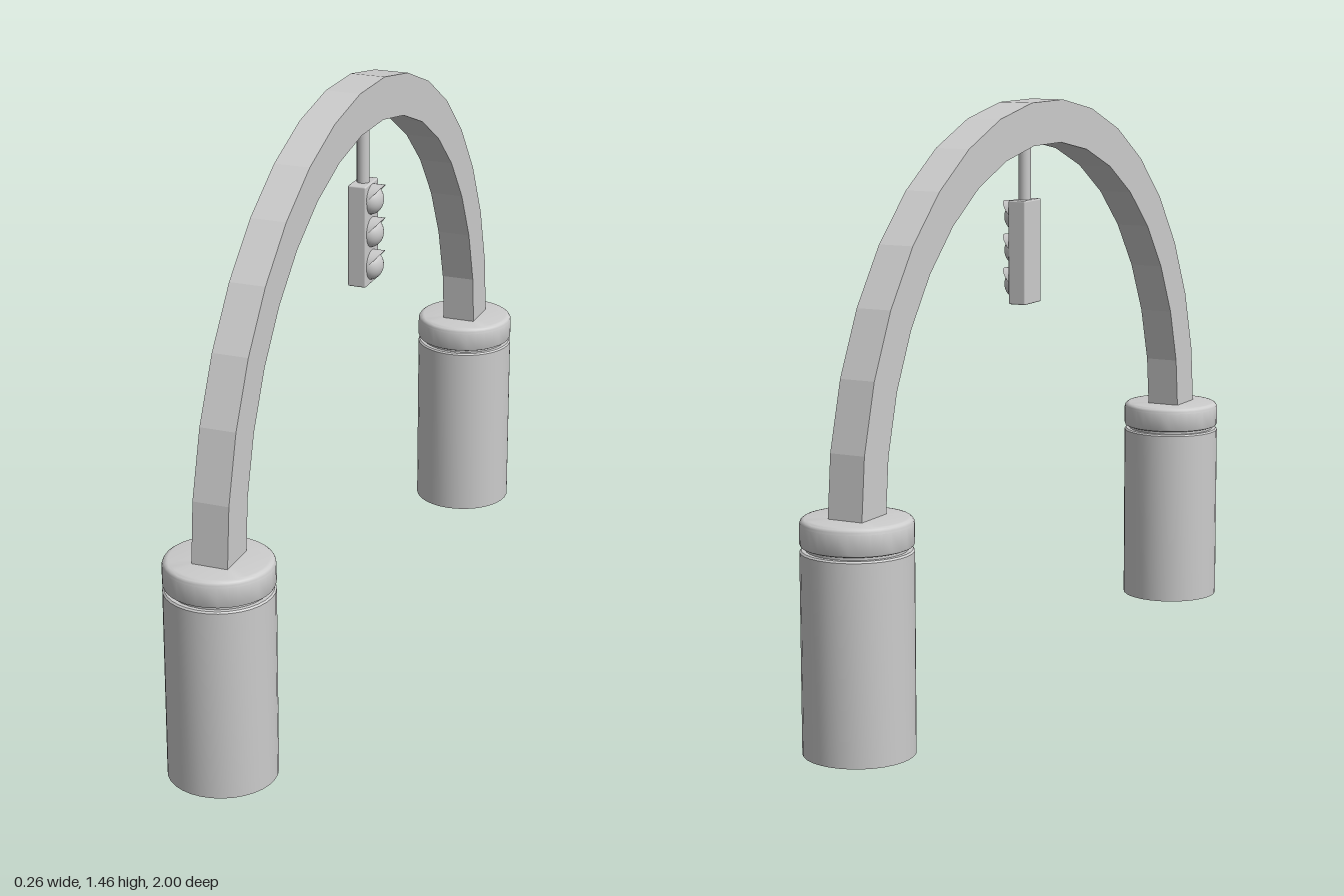
import * as THREE from 'three';
import { toCreasedNormals } from 'three/addons/utils/BufferGeometryUtils.js';
import { RoundedBoxGeometry } from 'three/addons/geometries/RoundedBoxGeometry.js';

const grey = new THREE.MeshStandardMaterial({ color: 0xcccccc });
const greyFlat = new THREE.MeshStandardMaterial({ color: 0xcccccc, flatShading: true });
const greyThin = new THREE.MeshStandardMaterial({ color: 0xcccccc, side: THREE.DoubleSide });

function add(parent, name, geometry, material, x = 0, y = 0, z = 0) {
  const mesh = new THREE.Mesh(geometry, material);
  mesh.name = name;
  mesh.position.set(x, y, z);
  parent.add(mesh);
  return mesh;
}

// Round post with a groove under a soft-edged cap
function pillarGeometry() {
  const r = 0.132;
  const points = [[0, 0], [r, 0], [r, 0.477], [r - 0.004, 0.481], [0.118, 0.481], [0.118, 0.489], [r - 0.006, 0.489], [r - 0.002, 0.491], [r, 0.496]];
  const fillet = 0.015;
  for (let i = 0; i <= 4; i++) {
    const a = (i / 4) * Math.PI / 2;
    points.push([r - fillet + fillet * Math.cos(a), 0.541 + fillet * Math.sin(a)]);
  }
  points.push([0, 0.556]);
  const lathe = new THREE.LatheGeometry(points.map(([x, y]) => new THREE.Vector2(x, y)), 32);
  return toCreasedNormals(lathe, 0.6);
}

// Faceted half ring with a rectangular section, spanning z
function archGeometry(outer, inner, width, segments) {
  const arc = (radius) => Array.from({ length: segments + 1 }, (_, i) => {
    const a = (i / segments) * Math.PI;
    return new THREE.Vector2(radius * Math.cos(a), radius * Math.sin(a));
  });
  const shape = new THREE.Shape([...arc(outer), ...arc(inner).reverse()]);
  const geometry = new THREE.ExtrudeGeometry(shape, { depth: width, bevelEnabled: false });
  return geometry.translate(0, 0, -width / 2).rotateY(Math.PI / 2);
}

// Half-round visor, longest at the top and tapering to nothing at the sides
function visorGeometry(radius, reach) {
  const geometry = new THREE.CylinderGeometry(radius, radius, 1, 20, 1, true, 0, Math.PI);
  const p = geometry.attributes.position;
  for (let i = 0; i < p.count; i++) {
    const up = Math.max(p.getX(i), 0);
    const out = p.getY(i) > 0 ? reach * up / radius : 0;
    p.setXYZ(i, out, up, p.getZ(i));
  }
  geometry.computeVertexNormals();
  return geometry;
}

export function createModel() {
  const model = new THREE.Group();
  model.name = 'signalArch';

  // Posts at both ends
  const pillar = pillarGeometry();
  add(model, 'frontPillar', pillar, grey, 0, 0, 0.868);
  add(model, 'backPillar', pillar, grey, 0, 0, -0.868);

  // Arch between the posts
  add(model, 'arch', archGeometry(0.923, 0.815, 0.09, 17), greyFlat, 0, 0.536, 0);

  // Hanging signal, set towards +x, with three hooded lamps facing +x
  const signal = new THREE.Group();
  signal.name = 'trafficSignal';
  signal.position.x = 0.02;
  model.add(signal);
  add(signal, 'hangerRod', new THREE.CylinderGeometry(0.016, 0.016, 0.17, 16), grey, 0, 1.28, 0);
  add(signal, 'signalHousing', new RoundedBoxGeometry(0.048, 0.264, 0.09, 2, 0.004), grey, 0, 1.074, 0);

  const lens = new THREE.SphereGeometry(0.038, 24, 10, 0, Math.PI * 2, 0, Math.PI / 2)
    .rotateZ(-Math.PI / 2).scale(0.87, 1, 1);
  const visor = visorGeometry(0.04, 0.037);
  ['top', 'middle', 'bottom'].forEach((place, i) => {
    const y = 1.162 - i * 0.086;
    add(signal, place + 'Lens', lens, grey, 0.02, y, 0);
    add(signal, place + 'Visor', visor, greyThin, 0.02, y, 0);
  });

  return model;
}
